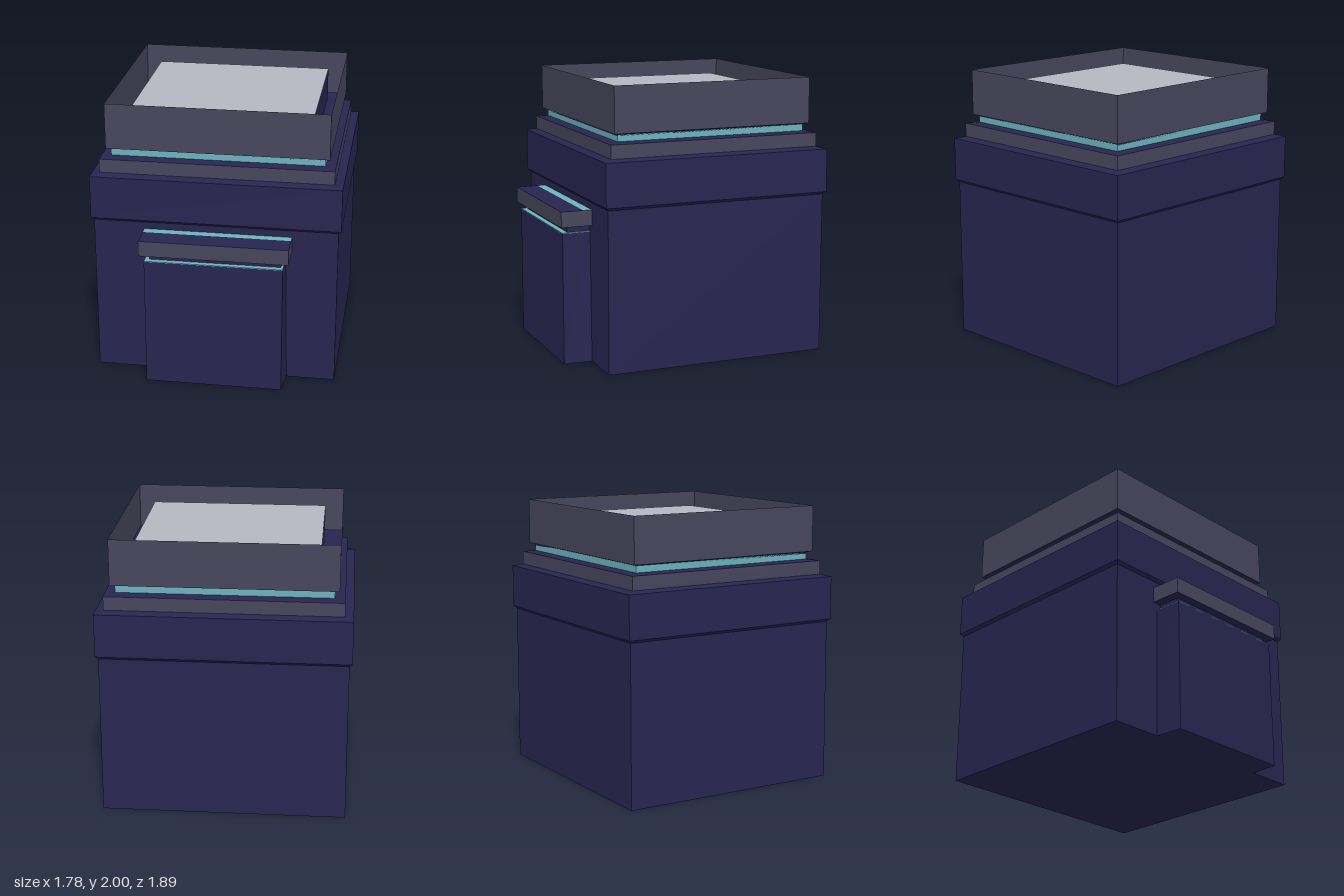
import * as THREE from 'three';

const flat = (name, color, side = THREE.FrontSide) => {
  const m = new THREE.MeshStandardMaterial({ color, side });
  m.name = name;
  return m;
};

// Corners of a rectangle in plan, counter-clockwise seen from below
const rect = (x0, x1, z0, z1) => [[x0, z1], [x1, z1], [x1, z0], [x0, z0]];

// Plan of one storey of the tower; its depth is slightly less than its width
const MID_Z = -0.1025;
const storey = (hx) => rect(-hx, hx, MID_Z - hx + 0.046, MID_Z + hx - 0.046);

// Skin over four-cornered sections [plan, y], with optional end caps
function loft(sections, bottom = false, top = false) {
  const pos = [];
  const rings = sections.map(([plan, y]) => plan.map(([x, z]) => [x, y, z]));
  const quad = (a, b, c, d) => pos.push(...a, ...b, ...c, ...a, ...c, ...d);
  for (let s = 0; s + 1 < rings.length; s++) {
    const lo = rings[s], hi = rings[s + 1];
    for (let i = 0; i < 4; i++) {
      const j = (i + 1) % 4;
      quad(lo[i], lo[j], hi[j], hi[i]);
    }
  }
  if (bottom) quad(...[...rings[0]].reverse());
  if (top) quad(...rings[rings.length - 1]);
  const g = new THREE.BufferGeometry();
  g.setAttribute('position', new THREE.Float32BufferAttribute(pos, 3));
  g.computeVertexNormals();
  return g;
}

export function createModel() {
  const model = new THREE.Group();
  model.name = 'building';
  const navy = flat('navy wall', 0x272550);
  const slate = flat('slate trim', 0x47465c);
  const slateSheet = flat('slate parapet', 0x47465c, THREE.DoubleSide);
  const teal = flat('teal glow', 0x69b4bc);
  const pale = flat('pale roof', 0xb4b8c1);

  const add = (name, geometry, material, parent = model) => {
    const mesh = new THREE.Mesh(geometry, material);
    mesh.name = name;
    parent.add(mesh);
  };

  // Tower, from the ground up
  add('mainWalls', loft([[storey(0.87), 0], [storey(0.87), 1.16]], true), navy);
  add('cornice', loft([
    [storey(0.87), 1.16], [storey(0.89), 1.18],
    [storey(0.89), 1.49], [storey(0.83), 1.505],
  ]), navy);
  add('upperBand', loft([[storey(0.83), 1.505], [storey(0.83), 1.603]]), slate);
  add('bandLedge', loft([[storey(0.83), 1.603], [storey(0.757), 1.612]]), navy);
  add('lightStrip', loft([[storey(0.757), 1.612], [storey(0.757), 1.66]]), teal);
  add('roofFloor', loft([[storey(0.757), 1.65], [storey(0.757), 1.661]], false, true), navy);
  add('parapetLip', loft([[storey(0.757), 1.66], [storey(0.79), 1.67]]),
    flat('navy lip', 0x272550, THREE.DoubleSide));
  add('parapet', loft([[storey(0.79), 1.67], [storey(0.79), 2]]), slateSheet);

  // Raised roof platform inside the parapet
  const deck = rect(-0.655, 0.655, -0.73, 0.512);
  add('roofPlinth', loft([[deck, 1.66], [deck, 1.895]]), navy);
  add('roofDeck', loft([[deck, 1.895], [deck, 1.9]], false, true), pale);

  // Entrance on the front
  const entrance = new THREE.Group();
  entrance.name = 'entrance';
  model.add(entrance);
  const Z = 0.72;
  const doorTop = rect(-0.475, 0.505, Z, 0.925);
  const doorFoot = [[-0.475, 0.925], [0.505, 0.925], [0.522, Z], [-0.488, Z]];
  add('doorBlock', loft([[doorFoot, 0], [doorTop, 0.945]], true), navy, entrance);
  add('doorLedge', loft([[doorTop, 0.945], [doorTop, 0.95]], false, true), teal, entrance);
  const neck = rect(-0.44, 0.488, Z, 0.885);
  add('doorNeck', loft([[neck, 0.95], [neck, 1.0]]), navy, entrance);

  const canopy = rect(-0.508, 0.546, Z, 0.947);
  add('canopyRim', loft([[canopy, 0.998], [canopy, 1.11]]), slate, entrance);
  add('canopyUnderside', loft([[canopy, 0.997], [canopy, 0.998]], true), navy, entrance);
  const front = rect(-0.508, 0.546, 0.785, 0.947);
  const back = rect(-0.508, 0.546, Z, 0.785);
  add('canopyTop', loft([[front, 1.109], [front, 1.11]], false, true), navy, entrance);
  add('canopyLight', loft([[back, 1.109], [back, 1.11]], false, true), teal, entrance);

  return model;
}
